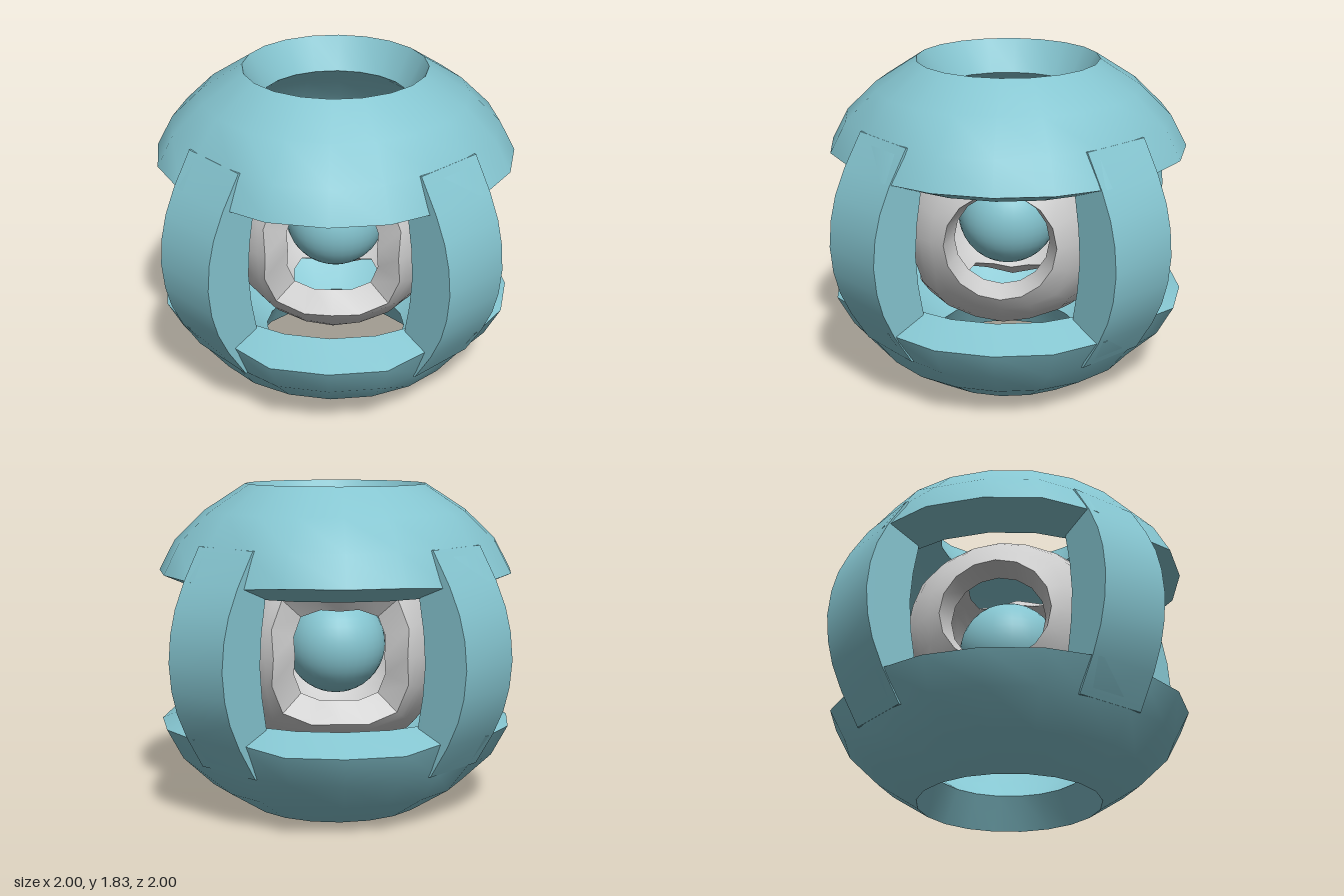
import * as THREE from 'three';
import { mergeGeometries, toCreasedNormals } from 'three/addons/utils/BufferGeometryUtils.js';

const MID = 0.914; // height of the common centre

// One sixth of a hollow ball: a square spherical patch facing +z with a flared hole;
// ripple pulls the hole in along the axes and out towards the corners
function shellPatch(R, holeOut, Ri, holeIn, ripple, segments = 16) {
  const pos = [], index = [], rows = 6;
  for (let j = 0; j <= segments; j++) {
    const a = (j / segments) * Math.PI * 2, c = Math.cos(a), s = Math.sin(a);
    const t = 1 / Math.max(Math.abs(c), Math.abs(s));
    const wave = 1 - ripple * Math.cos(4 * a);
    const edge = r => new THREE.Vector3(c * t, s * t, 1).setLength(r);
    const rim = (r, hole) => {
      const h = hole * wave;
      return new THREE.Vector3(c * h, s * h, Math.sqrt(r * r - h * h));
    };
    const middle = (r, hole) => edge(r).lerp(rim(r, hole), 0.5).setLength(r);
    const section = [edge(R), middle(R, holeOut), rim(R, holeOut), rim(Ri, holeIn), middle(Ri, holeIn), edge(Ri)];
    section.forEach(p => pos.push(p.x, p.y, p.z));
  }
  for (let j = 0; j < segments; j++) {
    for (let i = 0; i < rows - 1; i++) {
      const a = j * rows + i, b = a + rows;
      index.push(a, b, a + 1, b, b + 1, a + 1);
    }
  }
  const g = new THREE.BufferGeometry();
  g.setAttribute('position', new THREE.Float32BufferAttribute(pos, 3));
  g.setIndex(index);
  return g;
}

export function createModel() {
  const model = new THREE.Group();
  const teal = new THREE.MeshStandardMaterial({ color: 0x85c5d0 });
  const grey = new THREE.MeshStandardMaterial({ color: 0xcccccc });
  const add = (name, geometry, material) => {
    const mesh = new THREE.Mesh(geometry, material);
    mesh.name = name;
    mesh.position.y = MID;
    model.add(mesh);
    return mesh;
  };

  // Upper and lower thick caps with flared round openings
  const capProfile = [
    [0.79, 0.34], [1.0, 0.43], [0.91, 0.6], [0.74, 0.765], [0.51, 0.914],
    [0.41, 0.73], [0.59, 0.6], [0.72, 0.46], [0.79, 0.34],
  ].map(([x, y]) => new THREE.Vector2(x, y));
  const lathe = new THREE.LatheGeometry(capProfile, 20);
  lathe.deleteAttribute('normal');
  // The outer rim draws in towards the diagonals, more so beside the front and back windows
  const p = lathe.attributes.position;
  for (let i = 0; i < p.count; i++) {
    const x = p.getX(i), y = p.getY(i), z = p.getZ(i), r = Math.hypot(x, z);
    const diagonal = Math.abs(x * z) > 0.4 * r * r;
    if (r < 0.85 || !diagonal) continue;
    const k = y > 0.5 ? 0.95 : Math.abs(z) > Math.abs(x) ? 0.94 : 0.98;
    p.setXYZ(i, x * k, y > 0.5 ? y : y * k, z * k);
  }
  const cap = toCreasedNormals(lathe, 0.6);
  add('upperCap', cap, teal);
  add('lowerCap', cap, teal).rotation.x = Math.PI;

  // Four curved posts on the diagonals, blending into the caps
  const half = 0.205;
  const outer = [[1.08, 0], [1.065, 0.15], [1.03, 0.28], [0.965, 0.42], [0.855, 0.6]];
  const inner = [[0.8, 0.6], [0.8, 0.39], [0.77, 0.34], [0.8, 0.17], [0.813, 0]];
  const flip = list => list.map(([x, y]) => [x, -y]).reverse();
  const outline = [...outer, ...inner, ...flip(inner).slice(1), ...flip(outer).slice(0, -1)];
  const postShape = new THREE.Shape(outline.map(([x, y]) => new THREE.Vector2(x, y)));
  const post = toCreasedNormals(
    new THREE.ExtrudeGeometry(postShape, { depth: half * 2, bevelEnabled: false }).translate(0, 0, -half), 0.5);
  for (let i = 0; i < 4; i++) add('post', post, teal).rotation.y = Math.PI / 4 + i * Math.PI / 2;

  // Inner hollow ball: wide faceted holes up, down, front and back, narrow round ones at the sides
  const R = 0.635, Ri = 0.5, patches = [];
  for (let i = 0; i < 4; i++) patches.push(shellPatch(R, 0.4, Ri, 0.27, 0.1).rotateX(i * Math.PI / 2));
  for (const side of [-1, 1]) patches.push(shellPatch(R, 0.305, Ri, 0.26, 0).rotateY(side * Math.PI / 2));
  add('innerShell', toCreasedNormals(mergeGeometries(patches), 0.4), grey);

  // Solid ball at the centre
  add('coreBall', new THREE.SphereGeometry(0.285, 32, 20), teal);

  return model;
}
